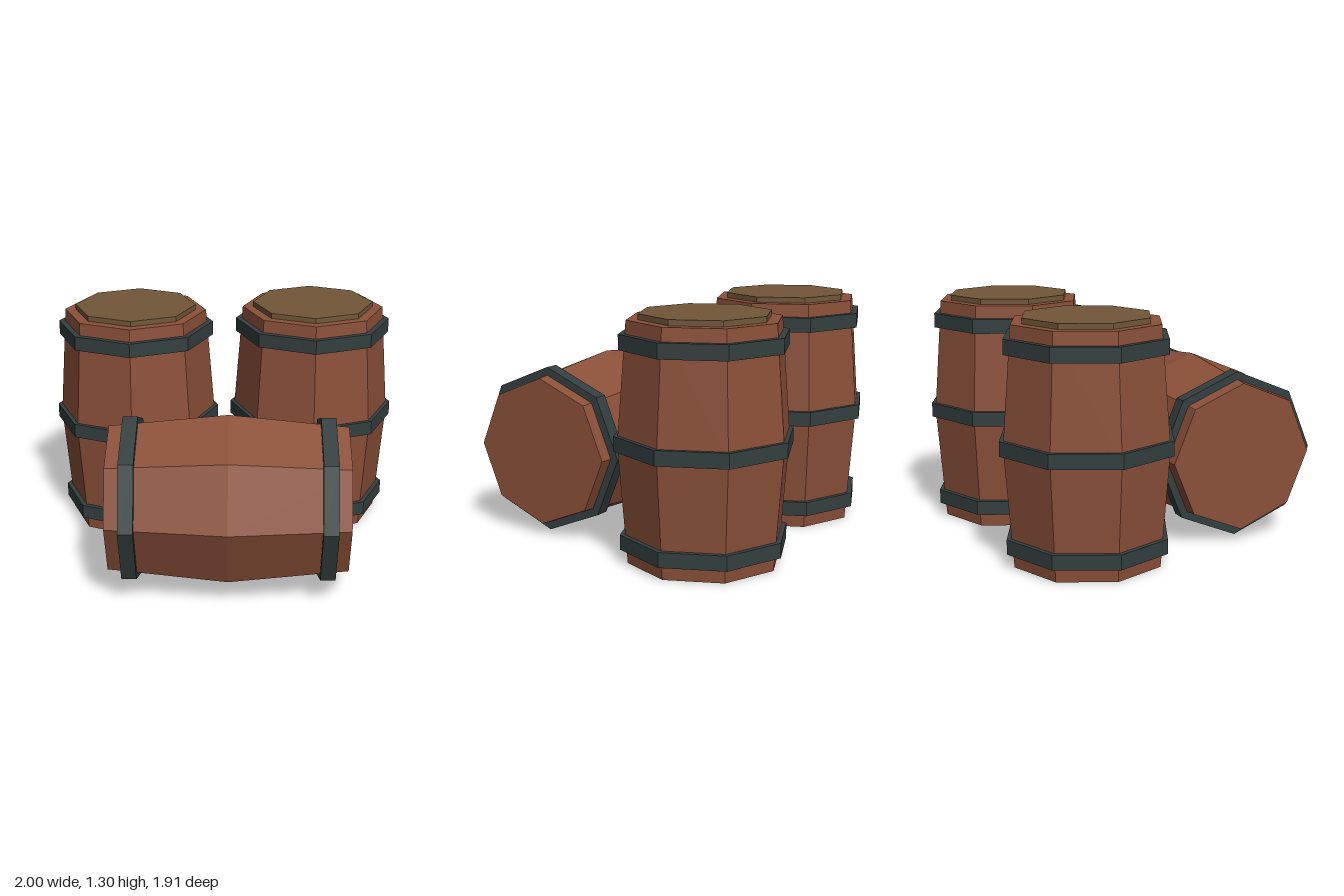
import * as THREE from 'three';

const wood = new THREE.MeshStandardMaterial({ color: 0x8b5039 });
wood.name = 'reddish wood';
const lidWood = new THREE.MeshStandardMaterial({ color: 0x72573a });
lidWood.name = 'olive lid wood';
const iron = new THREE.MeshStandardMaterial({ color: 0x343f40 });
iron.name = 'dark iron';

const HEIGHT = 1.27;
const END_RADIUS = 0.41;

// Eight-sided turned part with faceted normals; profile is [radius, y] from bottom to top
function turned(name, profile, material) {
  const points = profile.map(([r, y]) => new THREE.Vector2(r, y));
  const geometry = new THREE.LatheGeometry(points, 8).toNonIndexed();
  geometry.computeVertexNormals();
  const mesh = new THREE.Mesh(geometry, material);
  mesh.name = name;
  return mesh;
}

// Barrel standing on y = 0; hoops are [centre height, outer radius]
function barrel(name, middleRadius, hoops, hasLid) {
  const group = new THREE.Group();
  group.name = name;

  // Bulging staves with closed ends
  group.add(turned('staves', [
    [0, 0], [END_RADIUS, 0], [middleRadius, HEIGHT / 2], [END_RADIUS, HEIGHT], [0, HEIGHT],
  ], wood));

  // Iron hoops, open inside where they wrap the staves
  for (const [y, r] of hoops) {
    const low = y - 0.04, high = y + 0.04;
    group.add(turned('hoop', [[r - 0.045, low], [r, low], [r, high], [r - 0.045, high]], iron));
  }

  // Raised lid
  if (hasLid) {
    group.add(turned('lid', [[0.35, HEIGHT], [0.35, 1.3], [0, 1.3]], lidWood));
  }
  return group;
}

export function createModel() {
  const model = new THREE.Group();
  model.name = 'barrels';

  // Two standing barrels at the back
  const uprightHoops = [[0.115, 0.45], [0.64, 0.48], [1.16, 0.45]];
  for (const [name, x, z] of [['rightBarrel', -0.52, -0.4], ['leftBarrel', 0.515, -0.475]]) {
    const standing = barrel(name, 0.46, uprightHoops, true);
    standing.position.set(x, 0, z);
    model.add(standing);
  }

  // One barrel lying on its side in front, axis along x
  const lying = barrel('lyingBarrel', 0.475, [[0.115, 0.462], [1.16, 0.462]], false);
  lying.rotation.z = -Math.PI / 2;
  lying.position.set(-0.6, 0.477, 0.477);
  model.add(lying);

  return model;
}
